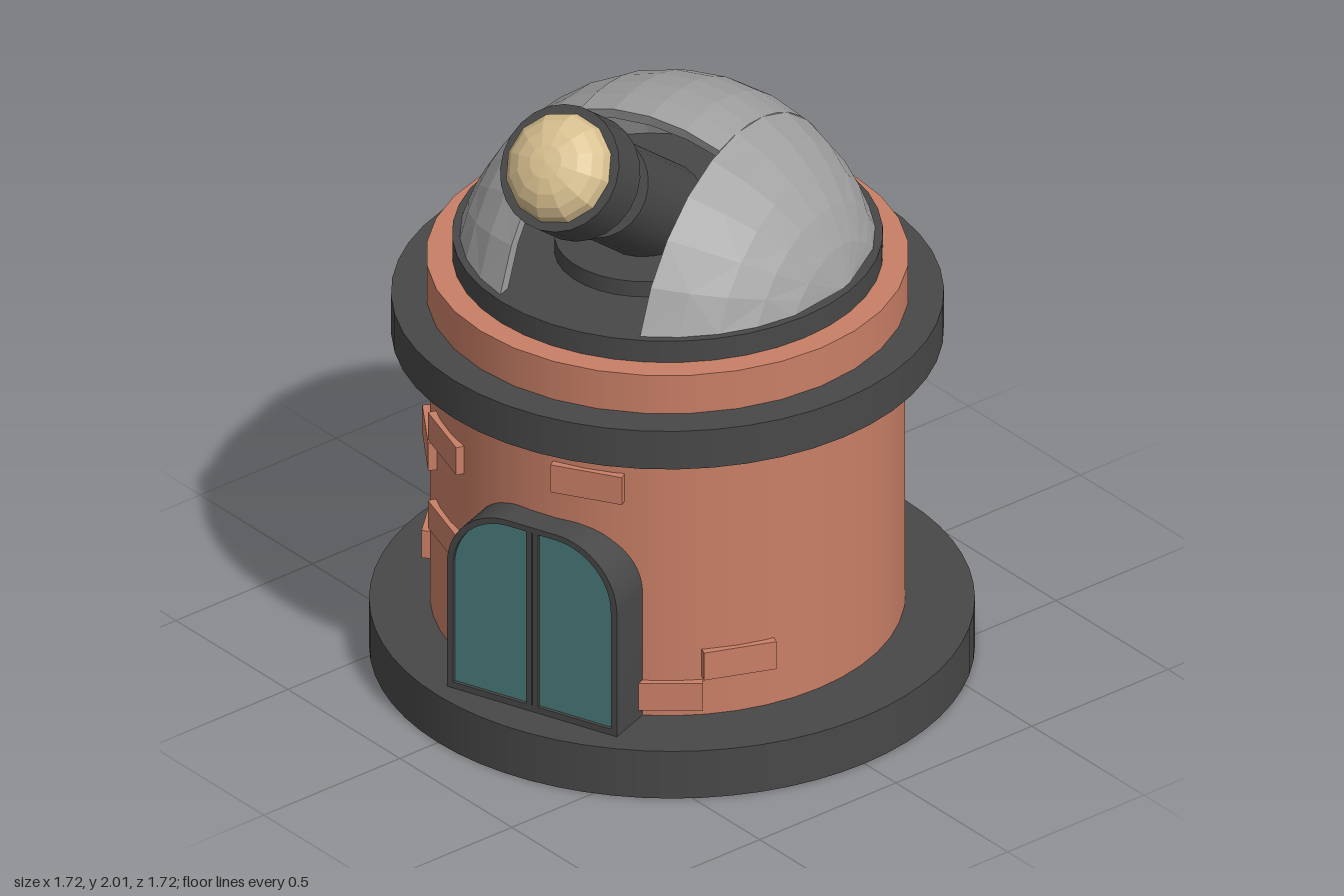
import * as THREE from 'three';
import { toCreasedNormals } from 'three/addons/utils/BufferGeometryUtils.js';

const material = (name, color) => Object.assign(new THREE.MeshStandardMaterial({ color }), { name });

export function createModel() {
  const brick = material('terracotta', 0xc97f66);
  const dark = material('charcoal', 0x484848);
  const grey = material('domeGrey', 0xa0a0a0);
  const silver = material('silver', 0xcacaca);
  const cream = material('lensCream', 0xd8c090);
  const teal = material('tealGlass', 0x4a7c7c);

  const model = new THREE.Group();
  model.name = 'observatory';
  const add = (parent, name, geo, mat, x = 0, y = 0, z = 0) => {
    const mesh = new THREE.Mesh(geo, mat);
    mesh.name = name;
    mesh.position.set(x, y, z);
    parent.add(mesh);
    return mesh;
  };
  const facet = (geo) => {
    const flat = geo.index ? geo.toNonIndexed() : geo;
    flat.computeVertexNormals();
    return flat;
  };

  // Stacked round storeys: name, radius, bottom, top, sides, material, x
  const CX = -0.02;
  for (const [name, r, y0, y1, sides, mat, x] of [
    ['basePlinth', 0.86, 0, 0.155, 64, dark, 0],
    ['brickWall', 0.675, 0.15, 1.04, 48, brick, CX],
    ['cornice', 0.785, 1.03, 1.155, 48, dark, CX],
    ['upperBrickRing', 0.686, 1.15, 1.28, 32, brick, CX],
    ['domeRing', 0.612, 1.275, 1.35, 40, dark, CX],
  ]) add(model, name, new THREE.CylinderGeometry(r, r, y1 - y0, sides), mat, x, (y0 + y1) / 2, 0);

  // Raised bricks: angle around the wall in degrees, height
  const bricks = new THREE.Group();
  bricks.name = 'raisedBricks';
  bricks.position.x = CX;
  model.add(bricks);
  for (const [deg, y] of [[-35, 0.705], [-17.5, 0.805], [-17.5, 0.515], [-48, 0.325],
    [31, 0.9], [68, 0.325], [50, 0.225]]) {
    const a = THREE.MathUtils.degToRad(deg);
    add(bricks, 'raisedBrick', new THREE.BoxGeometry(0.215, 0.09, 0.06), brick,
      Math.sin(a) * 0.66, y, Math.cos(a) * 0.66).rotation.y = a;
  }

  // Everything below is turned toward the entrance direction
  const turned = new THREE.Group();
  turned.name = 'turnedParts';
  turned.position.x = CX;
  turned.rotation.y = THREE.MathUtils.degToRad(20);
  model.add(turned);

  // Dome shell: lofted from arcs running back to front, closed by an inner arc
  const R = 0.616, CY = 1.174, BASE = 1.35, SLOT = 0.23, SEG = 10;
  const shell = (p0, p1, rows, frontZ) => {
    const pos = [], idx = [], n = SEG + 1, loop = 2 * n;
    const f0 = Math.asin(p0 / R), f1 = Math.asin(p1 / R);
    for (let i = 0; i <= rows; i++) {
      const f = f0 + (f1 - f0) * i / rows;
      const p = R * Math.sin(f), rho = R * Math.cos(f);
      const low = Math.asin(Math.min(1, (BASE - CY) / rho));
      const end = frontZ === undefined ? low : Math.acos(frontZ / rho);
      for (let j = 0; j < loop; j++) {
        const inner = j >= n, k = inner ? loop - 1 - j : j;
        const a = Math.PI - low + (end - Math.PI + low) * k / SEG;
        const s = inner ? 0.92 : 1;
        pos.push(p, BASE + (CY + rho * Math.sin(a) - BASE) * s, rho * Math.cos(a) * s);
      }
    }
    for (let i = 0; i < rows; i++) {
      for (let j = 0; j < loop; j++) {
        const a = i * loop + j, b = i * loop + (j + 1) % loop;
        if ((i + j) % 2) idx.push(a, b, a + loop, b, b + loop, a + loop);
        else idx.push(a, b, b + loop, a, b + loop, a + loop);
      }
    }
    // Edge strips between outer and inner skin
    for (let j = 0; j < SEG; j++) {
      const a = j, b = j + 1, c = loop - 2 - j, d = loop - 1 - j, o = rows * loop;
      idx.push(a, d, b, b, d, c);
      idx.push(o + a, o + b, o + d, o + b, o + c, o + d);
    }
    const geo = new THREE.BufferGeometry();
    geo.setAttribute('position', new THREE.Float32BufferAttribute(pos, 3));
    geo.setIndex(idx);
    return facet(geo);
  };
  add(turned, 'domeLeft', shell(SLOT, 0.59, 5), grey);
  add(turned, 'domeRight', shell(-0.59, -SLOT, 5), grey);
  add(turned, 'domeBack', shell(-SLOT, SLOT, 4, 0.1), grey);

  // Telescope, axis along local y
  add(turned, 'telescopeTurntable', new THREE.CylinderGeometry(0.26, 0.26, 0.05, 32), dark, 0, 1.375, 0.12);
  const scope = new THREE.Group();
  scope.name = 'telescope';
  scope.position.set(0, 1.82, 0.543);
  scope.rotation.x = THREE.MathUtils.degToRad(90 - 37.6);
  turned.add(scope);
  const tube = (name, r, t0, t1, mat) =>
    add(scope, name, new THREE.CylinderGeometry(r, r, t1 - t0, 24), mat, 0, (t0 + t1) / 2, 0);
  tube('barrel', 0.15, -0.62, -0.21, dark);
  tube('neck', 0.112, -0.22, -0.07, silver);
  tube('collar', 0.185, -0.075, 0.075, dark);
  const lens = new THREE.SphereGeometry(0.162, 12, 5, 0, Math.PI * 2, 0, Math.PI / 2);
  lens.scale(1, 0.65, 1);
  add(scope, 'lens', facet(lens), cream, 0, 0.074, 0);

  // Arched doorway
  const arch = (w, y0, y1, r, Kind = THREE.Shape) => {
    const s = new Kind();
    s.moveTo(-w, y0);
    s.lineTo(w, y0);
    s.lineTo(w, y1 - r);
    s.absarc(w - r, y1 - r, r, 0, Math.PI / 2);
    s.lineTo(r - w, y1);
    s.absarc(r - w, y1 - r, r, Math.PI / 2, Math.PI);
    s.closePath();
    return s;
  };
  const extrude = (shape, depth) => toCreasedNormals(
    new THREE.ExtrudeGeometry(shape, { depth, bevelEnabled: false, curveSegments: 8 }), 0.6);
  const door = new THREE.Group();
  door.name = 'doorway';
  turned.add(door);
  add(door, 'porch', extrude(arch(0.28, 0.15, 0.76, 0.2), 0.2), dark, 0, 0, 0.54);
  const rim = arch(0.28, 0.15, 0.76, 0.2);
  rim.holes.push(arch(0.26, 0.175, 0.742, 0.183, THREE.Path));
  add(door, 'doorFrame', extrude(rim, 0.018), dark, 0, 0, 0.739);
  add(door, 'doorGlass', extrude(arch(0.261, 0.174, 0.743, 0.183), 0.008), teal, 0, 0, 0.739);
  for (const side of [-1, 1])
    add(door, 'doorStile', new THREE.BoxGeometry(0.018, 0.57, 0.014), dark, side * 0.011, 0.459, 0.75);

  return model;
}
